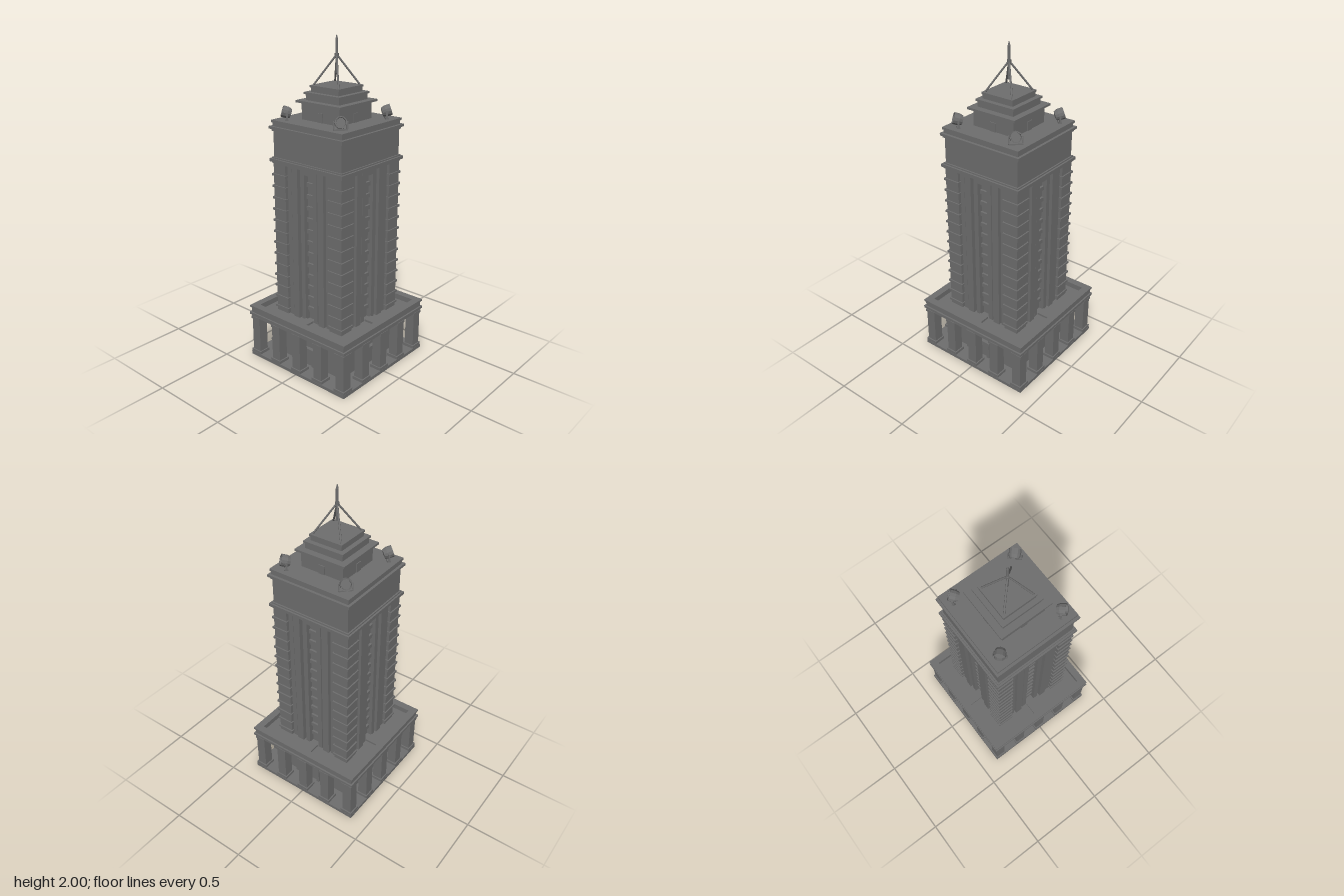
import * as THREE from 'three';

const stone = new THREE.MeshStandardMaterial({ color: 0x6e6e6e });
stone.name = 'grey stone';

function add(parent, name, geometry) {
  const mesh = new THREE.Mesh(geometry, stone);
  mesh.name = name;
  parent.add(mesh);
  return mesh;
}

// Box given by its x, y and z ranges
function block(parent, name, x0, x1, y0, y1, z0, z1) {
  const mesh = add(parent, name, new THREE.BoxGeometry(x1 - x0, y1 - y0, z1 - z0));
  mesh.position.set((x0 + x1) / 2, (y0 + y1) / 2, (z0 + z1) / 2);
  return mesh;
}

// Square tier centred on the axis
const tier = (parent, name, half, y0, y1) =>
  block(parent, name, -half, half, y0, y1, -half, half);

// Square frame with an open centre
function frame(parent, name, half, inner, y0, y1) {
  const square = (path, s) => path.moveTo(-s, -s).lineTo(s, -s).lineTo(s, s).lineTo(-s, s).closePath();
  const shape = square(new THREE.Shape(), half);
  shape.holes.push(square(new THREE.Path(), inner));
  const geometry = new THREE.ExtrudeGeometry(shape, { depth: y1 - y0, bevelEnabled: false });
  geometry.rotateX(-Math.PI / 2);
  add(parent, name, geometry).position.y = y0;
}

// Round bar between two points
function bar(parent, name, a, b, r0, r1 = r0) {
  const dir = b.clone().sub(a);
  const mesh = add(parent, name, new THREE.CylinderGeometry(r1, r0, dir.length(), 8));
  mesh.position.copy(a).add(b).multiplyScalar(0.5);
  mesh.quaternion.setFromUnitVectors(new THREE.Vector3(0, 1, 0), dir.normalize());
}

// Everything that repeats on each of the four faces, modelled facing +z
function facade() {
  const g = new THREE.Group();
  g.name = 'facade';

  // Colonnade; the last corner column belongs to the next face
  for (const x of [-0.345, -0.172, 0, 0.172]) {
    block(g, 'columnFoot', x - 0.039, x + 0.039, 0.015, 0.038, 0.306, 0.384);
    block(g, 'columnShaft', x - 0.031, x + 0.031, 0.035, 0.275, 0.314, 0.376);
    block(g, 'columnCap', x - 0.036, x + 0.036, 0.255, 0.272, 0.309, 0.381);
  }

  // Entrance and ground floor windows
  block(g, 'doorLeaf', -0.035, 0.035, 0.02, 0.125, 0.262, 0.27);
  block(g, 'doorLintel', -0.06, 0.06, 0.125, 0.14, 0.25, 0.285);
  block(g, 'transom', -0.06, 0.06, 0.195, 0.205, 0.25, 0.275);
  for (const s of [-1, 1]) {
    block(g, 'doorJamb', s * 0.045 - 0.01, s * 0.045 + 0.01, 0.02, 0.13, 0.25, 0.28);
    block(g, 'groundPilaster', s * 0.12 - 0.015, s * 0.12 + 0.015, 0.02, 0.28, 0.25, 0.275);
  }

  // Terrace steps behind the parapet
  block(g, 'terraceStep', -0.03, 0.03, 0.305, 0.325, 0.25, 0.345);

  // Vertical ribs either side of the tall window
  for (const s of [-1, 1]) {
    for (const [x, w, z] of [[0.048, 0.03, 0.248], [0.1, 0.045, 0.258], [0.148, 0.03, 0.248]])
      block(g, 'rib', s * x - w / 2, s * x + w / 2, 0.31, 1.275, 0.21, z);
  }
  block(g, 'windowHead', -0.04, 0.04, 1.235, 1.275, 0.2, 0.248);
  for (let i = 0; i < 12; i++)
    block(g, 'windowSpandrel', -0.033, 0.033, 0.37 + i * 0.072, 0.395 + i * 0.072, 0.2, 0.228);

  // Corner pier with projecting stone bands
  block(g, 'cornerPier', 0.168, 0.262, 0.3, 1.275, 0.168, 0.262);
  for (let i = 0; i < 13; i++) {
    const y = 0.335 + i * 0.0715;
    block(g, 'pierBand', 0.162, 0.27, y, y + 0.013, 0.162, 0.27);
  }

  // Rooftop cabin door
  block(g, 'cabinDoor', -0.02, 0.02, 1.525, 1.58, 0.14, 0.147);
  return g;
}

// Drum floodlight on a yoke, opening towards +z
function floodlight() {
  const g = new THREE.Group();
  g.name = 'floodlight';
  const head = new THREE.Group();
  head.name = 'lampHead';
  const profile = [[0, -0.028], [0.026, -0.025], [0.034, -0.005], [0.034, 0.028], [0.028, 0.028], [0.026, 0.012], [0, 0.012]]
    .map(([r, y]) => new THREE.Vector2(r, y));
  add(head, 'lampDrum', new THREE.LatheGeometry(profile, 12).toNonIndexed().rotateX(Math.PI / 2))
    .geometry.computeVertexNormals();
  head.rotation.x = -0.3;
  g.add(head);
  for (const s of [-1, 1])
    block(g, 'yokeArm', s * 0.037 - 0.004, s * 0.037 + 0.004, -0.035, 0.008, -0.006, 0.006);
  block(g, 'yokeFoot', -0.04, 0.04, -0.042, -0.033, -0.01, 0.01);
  return g;
}

export function createModel() {
  const tower = new THREE.Group();
  tower.name = 'tower';

  // Ground floor and terrace
  tier(tower, 'plinth', 0.385, 0, 0.02);
  tier(tower, 'groundFloor', 0.262, 0.015, 0.28);
  tier(tower, 'architrave', 0.378, 0.268, 0.285);
  tier(tower, 'terraceCornice', 0.388, 0.285, 0.3);
  tier(tower, 'terraceFloor', 0.378, 0.3, 0.312);
  frame(tower, 'terraceParapet', 0.378, 0.34, 0.31, 0.338);
  frame(tower, 'parapetCoping', 0.386, 0.34, 0.334, 0.346);

  // Shaft and crown
  tier(tower, 'shaftCore', 0.215, 0.3, 1.28);
  tier(tower, 'lowerMoulding', 0.267, 1.268, 1.28);
  tier(tower, 'lowerCornice', 0.279, 1.28, 1.298);
  tier(tower, 'lowerCorniceTop', 0.268, 1.298, 1.306);
  tier(tower, 'frieze', 0.259, 1.3, 1.47);
  tier(tower, 'upperMoulding', 0.267, 1.462, 1.475);
  tier(tower, 'upperCornice', 0.278, 1.475, 1.49);
  tier(tower, 'roofSlab', 0.262, 1.49, 1.515);
  tier(tower, 'roofEdge', 0.268, 1.512, 1.526);

  // Stepped rooftop cabin
  tier(tower, 'cabin', 0.142, 1.52, 1.63);
  tier(tower, 'cabinCornice', 0.166, 1.625, 1.638);
  tier(tower, 'middleStep', 0.125, 1.635, 1.675);
  tier(tower, 'middleCornice', 0.133, 1.672, 1.684);
  tier(tower, 'topStep', 0.104, 1.68, 1.712);
  tier(tower, 'topCap', 0.109, 1.71, 1.722);

  for (let i = 0; i < 4; i++) {
    const side = facade();
    side.rotation.y = i * Math.PI / 2;
    tower.add(side);

    const angle = Math.PI / 4 + i * Math.PI / 2;
    const sx = Math.sign(Math.sin(angle)), sz = Math.sign(Math.cos(angle));
    const lamp = floodlight();
    lamp.position.set(sx * 0.203, 1.568, sz * 0.203);
    lamp.rotation.y = angle;
    tower.add(lamp);

    bar(tower, 'mastStay', new THREE.Vector3(sx * 0.096, 1.718, sz * 0.096), new THREE.Vector3(0, 1.893, 0), 0.0055);
  }

  // Mast
  const at = y => new THREE.Vector3(0, y, 0);
  bar(tower, 'mast', at(1.79), at(1.975), 0.008);
  bar(tower, 'mastTip', at(1.975), at(2), 0.008, 0.002);
  bar(tower, 'mastCollar', at(1.88), at(1.9), 0.012);
  return tower;
}
